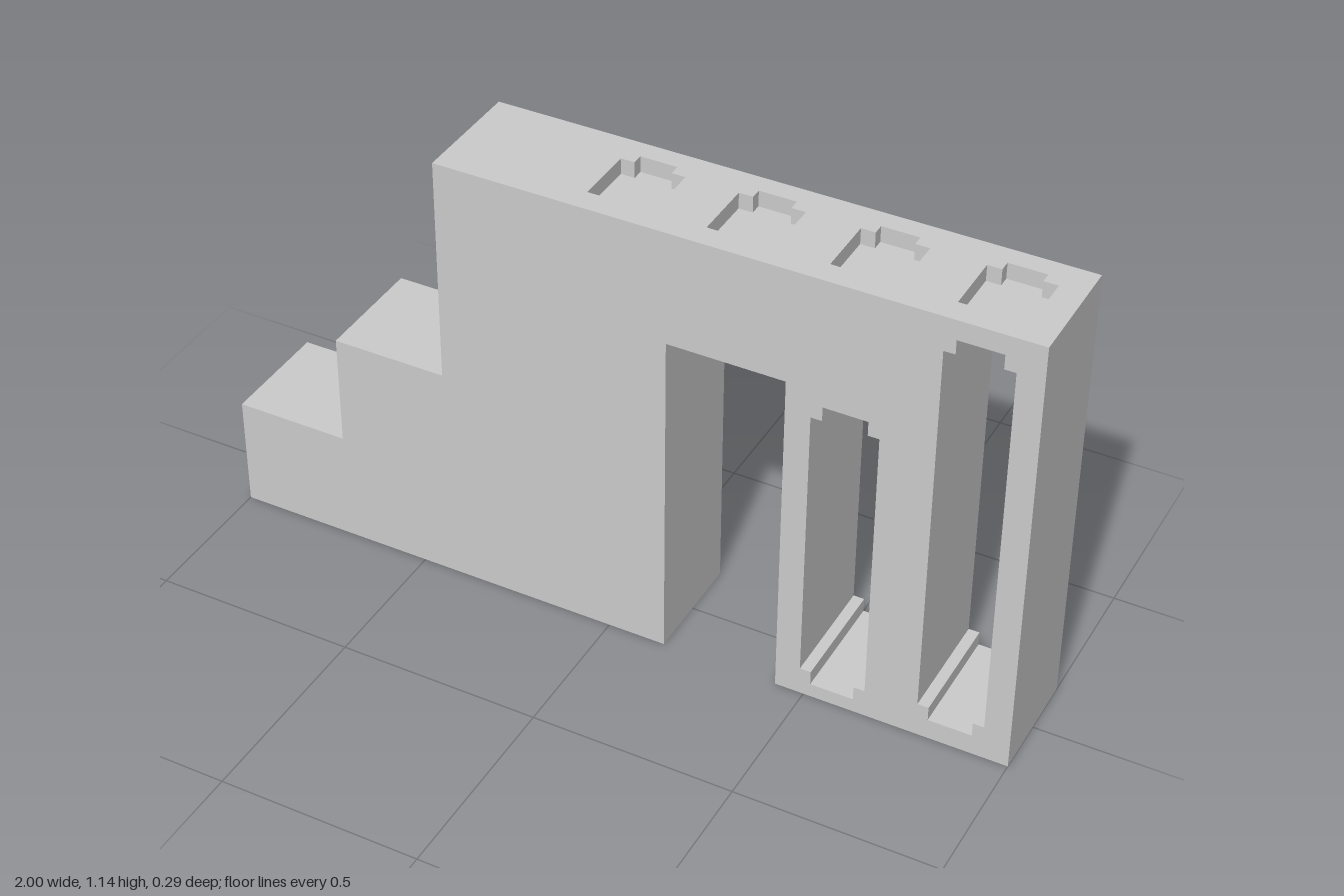
import * as THREE from 'three';

const U = 2 / 7;            // one block of the modular layout
const H = 4 * U;            // full height
const DEPTH = U;            // wall thickness
const POCKET = 0.04;        // depth of the recesses in the top

const material = new THREE.MeshStandardMaterial({ color: 0xcccccc, flatShading: true });

const vectors = (pts) => pts.map(([x, y]) => new THREE.Vector2(x, y));

// Removes the faces lying in the top plane, optionally turning the rest inside out
function withoutTop(geometry, flip = false) {
  const p = geometry.attributes.position;
  const out = [];
  for (let i = 0; i < p.count; i += 3) {
    const tri = flip ? [i, i + 2, i + 1] : [i, i + 1, i + 2];
    if (tri.every((k) => p.getY(k) > H - 1e-4)) continue;
    for (const k of tri) out.push(p.getX(k), p.getY(k), p.getZ(k));
  }
  const result = new THREE.BufferGeometry();
  result.setAttribute('position', new THREE.Float32BufferAttribute(out, 3));
  result.computeVertexNormals();
  return result;
}

// Tall window outline with a narrower tab at each end
function slotOutline(cx, bottom, top) {
  const w = 0.08, t = 0.053, s = 0.036;
  return vectors([
    [cx - t, bottom], [cx + t, bottom], [cx + t, bottom + s], [cx + w, bottom + s],
    [cx + w, top - s], [cx + t, top - s], [cx + t, top], [cx - t, top],
    [cx - t, top - s], [cx - w, top - s], [cx - w, bottom + s], [cx - t, bottom + s],
  ]);
}

// Recess outline with one tab toward the back (y of the shape is -z)
function pocketOutline(cx) {
  const w = 0.079, t = 0.045;
  return vectors([
    [cx - w, -0.084], [cx + w, -0.084], [cx + w, 0.066], [cx + t, 0.066],
    [cx + t, 0.093], [cx - t, 0.093], [cx - t, 0.066], [cx - w, 0.066],
  ]);
}

export function createModel() {
  const model = new THREE.Group();
  const add = (name, geometry) => {
    const mesh = new THREE.Mesh(geometry, material);
    mesh.name = name;
    model.add(mesh);
  };

  // Stepped wall with doorway and two through windows
  const wall = new THREE.Shape(vectors([
    [-1, 0], [U / 2, 0], [U / 2, 3 * U], [1.5 * U, 3 * U], [1.5 * U, 0], [1, 0],
    [1, H], [-1.5 * U, H], [-1.5 * U, 2 * U], [-2.5 * U, 2 * U], [-2.5 * U, U], [-1, U],
  ]));
  wall.holes.push(
    new THREE.Path(slotOutline(0.569, 0.036, 0.82)),
    new THREE.Path(slotOutline(3 * U, 0.053, 1.094)),
  );
  const wallGeometry = new THREE.ExtrudeGeometry(wall, { depth: DEPTH, bevelEnabled: false });
  wallGeometry.translate(0, 0, -DEPTH / 2);
  add('steppedWall', withoutTop(wallGeometry));

  // Top surface pierced by four recesses
  const top = new THREE.Shape(vectors([
    [-1.5 * U, -DEPTH / 2], [1, -DEPTH / 2], [1, DEPTH / 2], [-1.5 * U, DEPTH / 2],
  ]));
  for (let i = 0; i < 4; i++) {
    const outline = pocketOutline(i * U);
    top.holes.push(new THREE.Path(outline));
    const pocket = new THREE.ExtrudeGeometry(new THREE.Shape(outline), { depth: POCKET, bevelEnabled: false });
    pocket.rotateX(-Math.PI / 2).translate(0, H - POCKET, 0);
    add(`topRecess${i + 1}`, withoutTop(pocket, true));
  }
  add('topSurface', new THREE.ShapeGeometry(top).rotateX(-Math.PI / 2).translate(0, H, 0));

  return model;
}
